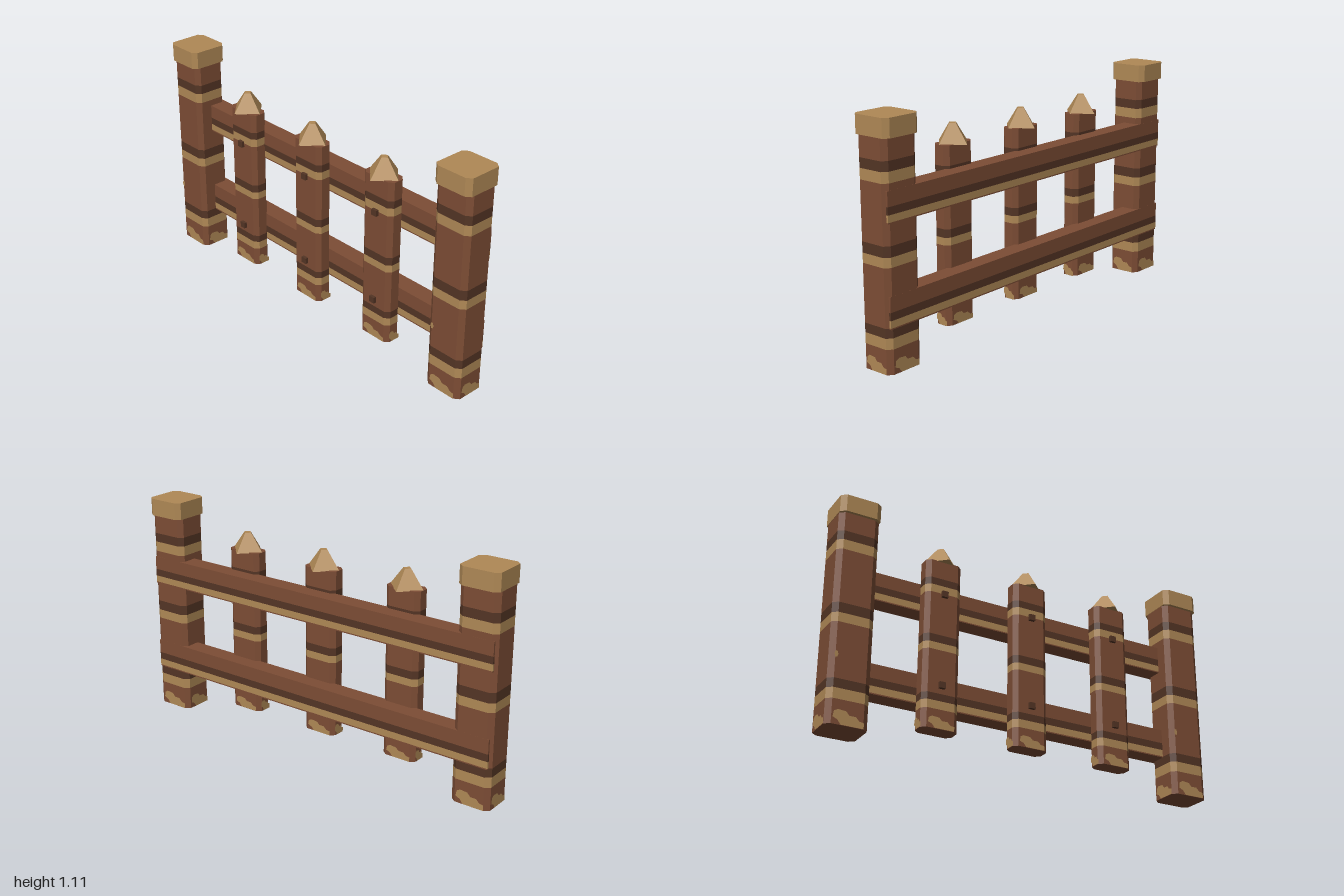
import * as THREE from 'three';

const mat = (name, color) => {
  const m = new THREE.MeshStandardMaterial({ color });
  m.name = name;
  return m;
};

export function createModel() {
  const brown = mat('brown wood', 0x7d4d35);
  const dark = mat('dark wood', 0x543525);
  const tan = mat('tan wood', 0xb08956);
  const palette = [brown, dark, tan];
  const B = 0, D = 1, T = 2;

  // Upright prism with chamfered corners; bands are [top fraction, colour] from the bottom up
  function bandedPrism(name, w, d, cx, cz, h, bands, endColour) {
    const x = w / 2, z = d / 2;
    const ring = cx > 0
      ? [[cx - x, z], [x - cx, z], [x, z - cz], [x, cz - z], [x - cx, -z], [cx - x, -z], [-x, cz - z], [-x, z - cz]]
      : [[-x, z], [x, z], [x, -z], [-x, -z]];
    const n = ring.length, pos = [], geo = new THREE.BufferGeometry();
    const put = (p, y) => pos.push(p[0], y, p[1]);
    const group = (start, colour) => geo.addGroup(start, pos.length / 3 - start, colour);

    let y0 = 0;
    for (const [top, colour] of bands) {
      const start = pos.length / 3, y1 = top * h;
      for (let i = 0; i < n; i++) {
        const a = ring[i], b = ring[(i + 1) % n];
        put(a, y0); put(b, y0); put(b, y1);
        put(a, y0); put(b, y1); put(a, y1);
      }
      group(start, colour);
      y0 = y1;
    }
    const start = pos.length / 3;
    for (let i = 1; i < n - 1; i++) {
      put(ring[0], h); put(ring[i], h); put(ring[i + 1], h);
      put(ring[0], 0); put(ring[i + 1], 0); put(ring[i], 0);
    }
    group(start, endColour);
    geo.setAttribute('position', new THREE.Float32BufferAttribute(pos, 3));
    geo.computeVertexNormals();
    const mesh = new THREE.Mesh(geo, palette);
    mesh.name = name;
    return mesh;
  }

  // Worn tan patch, in unit width and height
  const blob = new THREE.Shape([
    [-0.2, 0], [-0.3, 0.3], [-0.45, 0.45], [-0.42, 0.85], [-0.3, 1], [-0.05, 0.95],
    [0.05, 0.7], [0.25, 0.7], [0.36, 0.45], [0.5, 0.4], [0.5, 0],
  ].map(([x, y]) => new THREE.Vector2(x, y)));
  const blobGeo = new THREE.ShapeGeometry(blob);

  function addPatches(parent, w, d, h) {
    for (let i = 0; i < 4; i++) {
      const side = i % 2 === 1;
      const patch = new THREE.Mesh(blobGeo, tan);
      patch.name = 'wornPatch';
      patch.scale.set((side ? d : w) * 0.76, h, 1);
      const angle = i * Math.PI / 2, r = (side ? w : d) / 2 + 0.0015;
      patch.rotation.y = angle;
      patch.position.set(Math.sin(angle) * r, 0.001, Math.cos(angle) * r);
      parent.add(patch);
    }
  }

  function addSpeck(parent, x, y, z) {
    const speck = new THREE.Mesh(new THREE.CircleGeometry(0.013, 6), tan);
    speck.name = 'woodSpeck';
    speck.scale.set(0.7, 1.3, 1);
    speck.position.set(x, y, z);
    parent.add(speck);
  }

  const uprightBands = [
    [0.11, B], [0.158, T], [0.2, D], [0.455, B], [0.498, T],
    [0.545, D], [0.8, B], [0.847, T], [0.89, D], [1, B],
  ];
  const railBands = [[0.04, B], [0.27, T], [0.52, D], [1, B]];
  const fence = new THREE.Group();
  fence.name = 'fence';

  // End posts with caps
  for (const s of [-1, 1]) {
    const post = new THREE.Group();
    post.name = s < 0 ? 'rightPost' : 'leftPost';
    post.position.set(s * 0.9, 0, -0.0125);
    post.add(bandedPrism('postBody', 0.197, 0.165, 0.025, 0.02, 1.045, uprightBands, B));
    const cap = bandedPrism('postCap', 0.2, 0.195, 0.025, 0.02, 0.085, [[1, T]], T);
    cap.position.y = 1.025;
    post.add(cap);
    addPatches(post, 0.197, 0.165, 0.068);
    addSpeck(post, -0.07, 0.32, 0.084);
    fence.add(post);
  }

  // Horizontal rails running through the posts
  for (const [name, y, h] of [['lowerRail', 0.205, 0.145], ['upperRail', 0.665, 0.14]]) {
    const rail = bandedPrism(name, 1.97, 0.09, 0, 0, h, railBands, B);
    rail.position.set(0, y, -0.0505);
    fence.add(rail);
  }

  // Pickets with pointed tips and square nails
  const tipGeo = new THREE.CylinderGeometry(0.021, 0.09, 0.09, 4).toNonIndexed();
  tipGeo.computeVertexNormals();
  tipGeo.scale(1, 1, 0.95);
  const nailGeo = new THREE.BoxGeometry(0.03, 0.03, 0.03);
  for (const x of [-0.465, 0, 0.465]) {
    const picket = new THREE.Group();
    picket.name = 'picket';
    picket.position.set(x, 0.075, 0.024);
    picket.add(bandedPrism('picketBody', 0.18, 0.088, 0.022, 0.02, 0.835, uprightBands, B));
    const tip = new THREE.Mesh(tipGeo, tan);
    tip.name = 'picketTip';
    tip.position.y = 0.877;
    picket.add(tip);
    for (const y of [0.207, 0.663]) {
      const nail = new THREE.Mesh(nailGeo, dark);
      nail.name = 'nail';
      nail.position.set(0, y, 0.044);
      picket.add(nail);
    }
    addPatches(picket, 0.18, 0.088, 0.055);
    fence.add(picket);
  }
  return fence;
}
